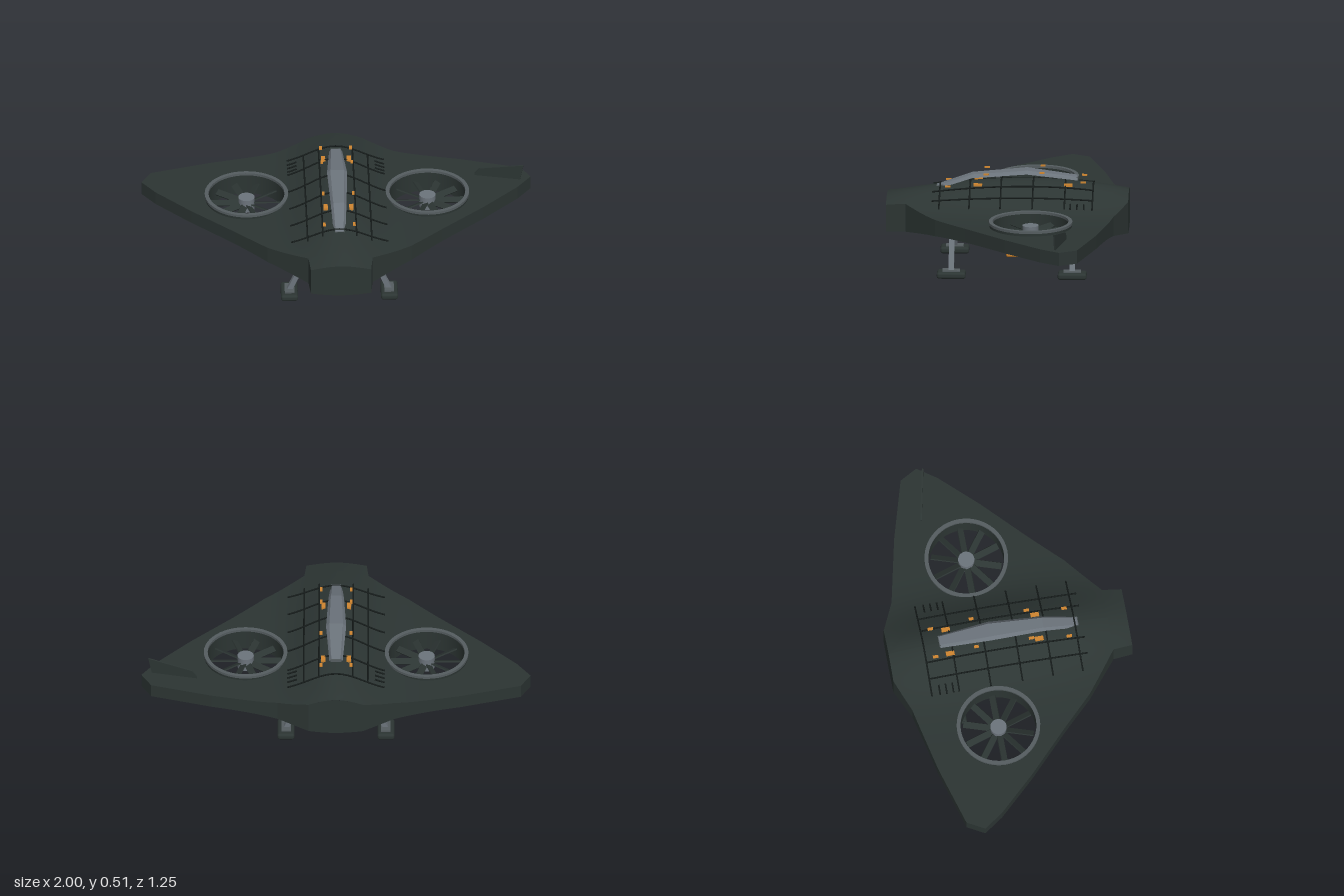
import * as THREE from 'three';
import { RoundedBoxGeometry } from 'three/addons/geometries/RoundedBoxGeometry.js';

const mat = (name, color, side = THREE.FrontSide) => {
  const m = new THREE.MeshStandardMaterial({ color, side });
  m.name = name;
  return m;
};

// Fan position and duct radius
const FX = 0.465, FZ = -0.135, FR = 0.211;

// Heights of the upper and lower hull skin
const topY = (x, z) => {
  const d = z + 0.12;
  const crest = 0.46 - d * d * (d > 0 ? 0.155 : 0.2);
  return 0.33 + (crest - 0.33) * Math.exp(-((x / 0.2) ** 2));
};
const botY = (x) => 0.26 - 0.06 * Math.exp(-((x / 0.3) ** 2));

// Right-to-tail edge of the half hull (x, z)
const EDGE = [[0.165, 0.52], [0.37, 0.36], [0.53, 0.2], [0.75, -0.01], [0.93, -0.2], [1, -0.3],
  [0.95, -0.39], [0.64, -0.48], [0.3, -0.555], [0.14, -0.625], [0, -0.625]];

function subdivide(pts, step) {
  const out = [pts[0]];
  for (let i = 1; i < pts.length; i++) {
    const [a, b] = [pts[i - 1], pts[i]];
    const n = Math.max(1, Math.round(Math.hypot(b[0] - a[0], b[1] - a[1]) / step));
    for (let k = 1; k <= n; k++) out.push([a[0] + (b[0] - a[0]) * k / n, a[1] + (b[1] - a[1]) * k / n]);
  }
  return out;
}

// Quad grid from a point function
function grid(nu, nv, fn, flip, flat) {
  const pos = [], idx = [];
  for (let i = 0; i <= nu; i++) for (let j = 0; j <= nv; j++) pos.push(...fn(i, j));
  for (let i = 0; i < nu; i++) for (let j = 0; j < nv; j++) {
    const a = i * (nv + 1) + j, b = a + 1, d = a + nv + 1, c = d + 1;
    if (flip) idx.push(a, c, b, a, d, c);
    else idx.push(a, b, c, a, c, d);
  }
  let g = new THREE.BufferGeometry();
  g.setAttribute('position', new THREE.Float32BufferAttribute(pos, 3));
  g.setIndex(idx);
  if (flat) g = g.toNonIndexed();
  g.computeVertexNormals();
  return g;
}

export function createModel() {
  const root = new THREE.Group();
  root.name = 'fanWingDrone';
  const hull = mat('hullGreen', 0x2c3533);
  const dark = mat('seamBlack', 0x161c1b);
  const grey = mat('metalGrey', 0x6c747c);
  const rimGrey = mat('rimGrey', 0x555d60);
  const orange = mat('markerOrange', 0xd08630);

  const add = (name, geo, m, x = 0, y = 0, z = 0, parent = root) => {
    const mesh = new THREE.Mesh(geo, m);
    mesh.name = name;
    mesh.position.set(x, y, z);
    parent.add(mesh);
    return mesh;
  };

  // Hull skin: each half is swept from the fan opening out to the outline
  const loop = subdivide([[0, 0.52], ...EDGE, [0, 0.52]], 0.0275);
  const rim = subdivide([[0, 0.62], [0.155, 0.62], ...EDGE], 0.04);
  const RINGS = 16;
  for (const s of [1, -1]) {
    const skin = (height) => (i, j) => {
      const [ox, oz] = loop[i];
      const len = Math.hypot(ox - FX, oz - FZ);
      const t = j / RINGS;
      const cx = FX + (ox - FX) / len * FR, cz = FZ + (oz - FZ) / len * FR;
      const x = cx + (ox - cx) * t, z = cz + (oz - cz) * t;
      return [s * x, height(x, z), z];
    };
    add('hullTop', grid(loop.length - 1, RINGS, skin(topY), s < 0), hull);
    add('hullBottom', grid(loop.length - 1, RINGS, skin(botY), s > 0), hull);
    add('hullEdge', grid(rim.length - 1, 1, (i, j) => {
      const [x, z] = rim[i];
      return [s * x, j ? botY(x) : topY(x, z), z];
    }, s < 0, true), hull);
  }
  const nose = (height) => (i, j) => {
    const z = 0.52 + 0.1 * j / 4;
    const x = (i / 6 - 1) * (0.165 - 0.01 * j / 4);
    return [x, height(x, z), z];
  };
  add('noseTop', grid(12, 4, nose(topY), false), hull);
  add('noseBottom', grid(12, 4, nose(botY), true), hull);

  // Ducted fans
  const ring = (r0, r1, y0, y1) => new THREE.LatheGeometry(
    [[r1, y0], [r1, y1], [r1, y1], [r0, y1], [r0, y1], [r0, y0], [r0, y0], [r1, y0]]
      .map(p => new THREE.Vector2(...p)), 48);
  for (const s of [1, -1]) {
    const fan = new THREE.Group();
    fan.name = 'fan';
    fan.position.set(s * FX, 0, FZ);
    root.add(fan);
    add('duct', ring(0.196, 0.212, 0.236, 0.346), hull, 0, 0, 0, fan);
    add('ductRim', ring(0.195, 0.215, 0.344, 0.357), rimGrey, 0, 0, 0, fan);
    add('hub', new THREE.CylinderGeometry(0.042, 0.042, 0.07, 24), grey, 0, 0.3, 0, fan);
    for (let k = 0; k < 10; k++) {
      const arm = new THREE.Group();
      arm.name = 'bladeArm';
      arm.rotation.y = k * Math.PI / 5;
      fan.add(arm);
      add('blade', new THREE.BoxGeometry(0.145, 0.007, 0.034), hull, 0.11, 0.3, 0, arm).rotation.x = s * 0.5;
    }
  }

  // Raised seams following the upper skin
  const seam = (x0, z0, x1, z1, n = 24) => {
    const pts = [];
    for (let i = 0; i <= n; i++) {
      const x = x0 + (x1 - x0) * i / n, z = z0 + (z1 - z0) * i / n;
      pts.push(new THREE.Vector3(x, topY(x, z) + 0.004, z));
    }
    add('seam', new THREE.TubeGeometry(new THREE.CatmullRomCurve3(pts), n, 0.0045, 5), dark);
  };
  for (const x of [-0.165, -0.087, 0.087, 0.165]) seam(x, -0.445, x, 0.385);
  for (const z of [-0.443, -0.3, -0.135, 0.03, 0.19, 0.345]) seam(-0.25, z, 0.25, z);
  for (const s of [1, -1]) for (const z of [-0.4, -0.365, -0.33]) seam(s * 0.2, z, s * 0.25, z, 4);

  // Arched spine strap: z, height, half width
  const strap = [[0.36, 0.425, 0.03], [0.18, 0.487, 0.04], [-0.1, 0.512, 0.052], [-0.36, 0.478, 0.034]];
  const section = [[-0.68, 0], [-1, -0.017], [1, -0.017], [0.68, 0], [-0.68, 0]];
  add('spineStrap', grid(3, 4, (i, j) => {
    const [z, y, w] = strap[i];
    return [section[j][0] * w, y + section[j][1], z];
  }, true, true), grey);
  for (const [z, y, w] of [strap[0], strap[3]])
    add('strapEnd', new THREE.BoxGeometry(w * 1.6, 0.018, 0.008), rimGrey, 0, y - 0.009, z);
  add('strapFrontFoot', new THREE.BoxGeometry(0.05, 0.03, 0.03), rimGrey, 0, 0.415, 0.335);

  // Orange markers: z, y, width, length
  for (const s of [1, -1]) {
    for (const [z, y, w, l] of [[-0.393, 0.463, 0.014, 0.028], [-0.18, 0.511, 0.014, 0.024],
      [0.108, 0.5, 0.014, 0.028], [0.305, 0.434, 0.014, 0.028]])
      add('marker', new THREE.BoxGeometry(w, 0.007, l), orange, s * 0.077, y, z);
    for (const z of [-0.315, 0.15])
      add('markerPad', new THREE.BoxGeometry(0.022, 0.012, 0.044), orange, s * 0.066, topY(0.066, z) + 0.005, z);
  }

  // Single tail fin on the left wing
  const finShape = new THREE.Shape([[0, -0.01], [0, 0.012], [0.025, 0.042], [0.255, 0.085], [0.235, -0.01]]
    .map(p => new THREE.Vector2(...p)));
  const fin = add('tipFin', new THREE.ExtrudeGeometry(finShape, { depth: 0.008, bevelEnabled: false }), hull, 0.715, 0.33, -0.33);
  fin.rotation.y = -0.21;

  // Landing gear
  for (const s of [1, -1]) {
    add('gearRail', new THREE.BoxGeometry(0.03, 0.025, 0.825), hull, s * 0.185, 0.2125, -0.03);
    for (const z of [0.28, -0.342]) {
      const leg = add('leg', new THREE.BoxGeometry(0.026, 0.19, 0.028), grey, s * 0.217, 0.12, z);
      leg.rotation.z = s * 0.43;
      add('ankle', new THREE.BoxGeometry(0.05, 0.01, 0.09), rimGrey, s * 0.256, 0.036, z);
      add('foot', new RoundedBoxGeometry(0.088, 0.034, 0.148, 3, 0.013), hull, s * 0.257, 0.017, z);
    }
  }

  // Belly sensor: mount, finned drum and orange camera
  add('sensorMount', new RoundedBoxGeometry(0.25, 0.046, 0.21, 3, 0.014), grey, 0, 0.178, -0.045);
  const drum = (name, r, l, m, x) =>
    add(name, new THREE.CylinderGeometry(r, r, l, 28), m, x, 0.143, -0.045).rotation.z = Math.PI / 2;
  drum('drumCore', 0.046, 0.2, rimGrey, 0);
  for (let i = 0; i < 9; i++) drum('drumFin', 0.061, 0.011, grey, (i - 4) * 0.0245);
  add('sensorCamera', new RoundedBoxGeometry(0.076, 0.04, 0.066, 3, 0.01), orange, 0, 0.07, -0.027);

  return root;
}
